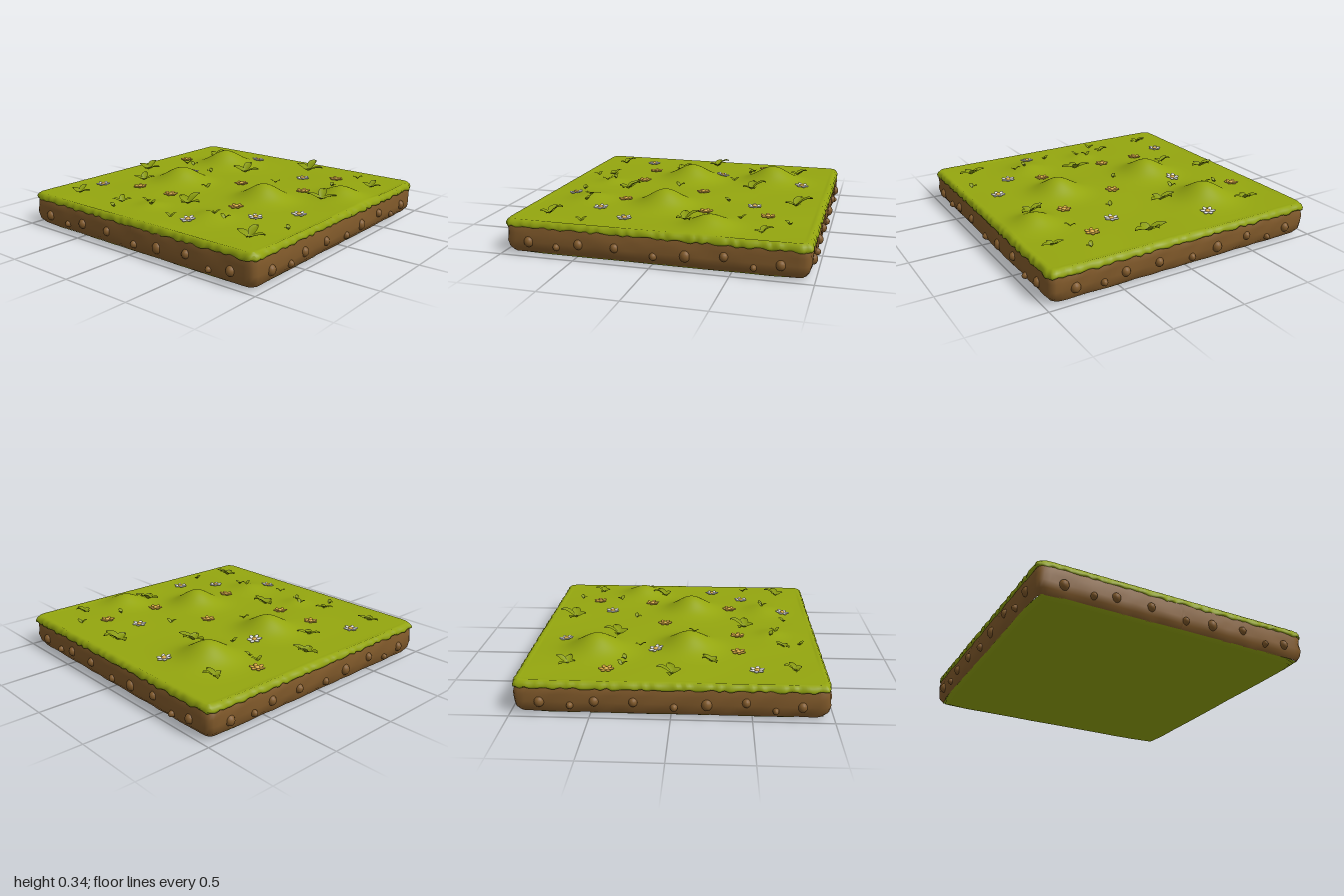
import * as THREE from 'three';
import { mergeGeometries } from 'three/addons/utils/BufferGeometryUtils.js';

const mat = (name, color, side = THREE.FrontSide) => {
  const m = new THREE.MeshStandardMaterial({ color, side });
  m.name = name;
  return m;
};

// Gentle mounds: x, z, height, radius
const HILLS = [
  [-0.45, -0.52, 0.11, 0.16], [-0.37, 0.09, 0.11, 0.16], [0.38, 0.08, 0.11, 0.15],
  [0.75, -0.32, 0.07, 0.13], [0.36, 0.62, 0.035, 0.13], [-0.12, 0.66, 0.02, 0.09],
];
const height = (x, z) => HILLS.reduce(
  (y, [hx, hz, h, r]) => y + h * Math.exp(-((x - hx) ** 2 + (z - hz) ** 2) / (r * r)),
  0.226 + 0.004 * Math.sin(7 * x + 1) * Math.sin(6 * z + 2));

// Smooth irregular wave along the border
const wave = (x, z, f) => (Math.sin(f * x + 1.3 * Math.sin(0.37 * f * x + 2 * z))
  + Math.sin(f * z + 1.3 * Math.sin(0.41 * f * z + 2 * x))) / 2;

// Point of a rounded square, from unit-square coordinates
function squarePoint(u, v, half, r = 0.05) {
  let x = u * half, z = v * half;
  const inner = half - r, dx = Math.abs(x) - inner, dz = Math.abs(z) - inner;
  if (dx > 0 && dz > 0) {
    const k = Math.min(1, r / Math.hypot(dx, dz));
    x = Math.sign(x) * (inner + dx * k);
    z = Math.sign(z) * (inner + dz * k);
  }
  return [x, z];
}

// Square sheet of n flat rings whose extra outer rings fold over the border
function sheet(n, half, rings, top, rim, flip) {
  const K = n + rings.length, W = 2 * K + 1, pos = [], idx = [];
  for (let j = -K; j <= K; j++) for (let i = -K; i <= K; i++) {
    const k = Math.max(Math.abs(i), Math.abs(j));
    if (k <= n) {
      const [x, z] = squarePoint(i / n, j / n, half);
      pos.push(x, top(x, z), z);
    } else {
      const [h, y] = rim(rings[k - n - 1], i / k, j / k);
      const [x, z] = squarePoint(i / k, j / k, h);
      pos.push(x, y, z);
    }
  }
  for (let j = 0; j < 2 * K; j++) for (let i = 0; i < 2 * K; i++) {
    const a = j * W + i, b = a + 1, c = a + W, d = c + 1;
    if (flip) idx.push(a, b, c, b, d, c);
    else idx.push(a, c, b, b, c, d);
  }
  const g = new THREE.BufferGeometry();
  g.setAttribute('position', new THREE.Float32BufferAttribute(pos, 3));
  g.setIndex(idx);
  g.computeVertexNormals();
  return g;
}

// Soil wall: tube squared off, with rounded lower edge and lumps
function soilWall() {
  const rows = [[0.955, 0.21], [0.97, 0.18], [0.972, 0.14], [0.975, 0.09], [0.968, 0.045], [0.945, 0.013]];
  const g = new THREE.CylinderGeometry(1, 1, 1, 320, 5, true), p = g.attributes.position;
  for (let i = 0; i < p.count; i++) {
    const [h, y] = rows[Math.round((0.5 - p.getY(i)) * 5)];
    const m = Math.max(Math.abs(p.getX(i)), Math.abs(p.getZ(i)));
    const u = p.getX(i) / m, v = p.getZ(i) / m;
    const [x, z] = squarePoint(u, v, h + 0.005 * wave(u + y * 2, v - y * 2, 23));
    p.setXYZ(i, x, y, z);
  }
  g.computeVertexNormals();
  return g;
}

// Curved, pointed leaf growing along +z
function leafGeometry(length, width, lift) {
  const g = new THREE.PlaneGeometry(2, 1, 4, 8), p = g.attributes.position;
  for (let i = 0; i < p.count; i++) {
    const s = p.getX(i), t = p.getY(i) + 0.5;
    const w = width * Math.pow(Math.sin(Math.PI * Math.pow(t, 0.85)), 0.8) + 0.003 * (1 - t);
    p.setXYZ(i, s * w, lift * Math.sin(t * 1.9) + 0.25 * width * s * s, length * t);
  }
  g.computeVertexNormals();
  return g;
}

export function createModel() {
  const model = new THREE.Group();
  const grass = mat('grass green', 0x94a60f);
  const leaf = mat('leaf green', 0x8a9c10, THREE.DoubleSide);
  const soil = mat('soil brown', 0x80592a);
  const white = mat('petal white', 0xf2f2ec);
  const yellow = mat('petal yellow', 0xd9ac42);
  const add = (parent, name, geo, material) => {
    const m = new THREE.Mesh(geo, material);
    m.name = name;
    parent.add(m);
    return m;
  };

  // Grass blanket with a ragged overhang
  add(model, 'grassTop', sheet(64, 0.935,
    [[0.958, 0.231, 0.3, 0], [0.972, 0.215, 0.8, 0.2], [0.978, 0.197, 1, 0.6], [0.976, 0.184, 1, 1], [0.955, 0.184, 0, 1]],
    height,
    ([h, y, a, b], u, v) => [h + 0.008 * a * wave(u, v, 67), y + b * (0.009 * wave(u, v, 61) + 0.005 * wave(u, v, 27))]),
    grass);
  add(model, 'soilWall', soilWall(), soil);
  add(model, 'underside', sheet(4, 0.915, [[0.935, 0.005], [0.95, 0.016]], () => 0,
    ([h, y], u, v) => [h + 0.004 * wave(u, v, 23), y], true), grass);

  // Pebbly lumps on each soil wall: distance along it, height, size
  const lumps = [[-0.81, 0.09, 0.032], [-0.62, 0.07, 0.022], [-0.47, 0.1, 0.03], [-0.23, 0.1, 0.028],
    [0.02, 0.07, 0.024], [0.22, 0.09, 0.034], [0.46, 0.11, 0.027], [0.64, 0.06, 0.02], [0.8, 0.09, 0.03]];
  for (let s = 0; s < 4; s++) {
    const wall = new THREE.Group();
    wall.name = 'soilLumps';
    wall.rotation.y = s * Math.PI / 2;
    for (const [x, y, r] of lumps) {
      const lump = add(wall, 'soilLump', new THREE.SphereGeometry(r, 14, 10), soil);
      lump.position.set(x, y, 0.968);
      lump.scale.z = 0.031 / r;
      lump.scale.y = 1.1;
    }
    model.add(wall);
  }

  // Flowers: six rounded petals about a button
  const petals = mergeGeometries(Array.from({ length: 6 }, (_, i) =>
    new THREE.SphereGeometry(1, 10, 8).scale(0.014, 0.006, 0.021)
      .rotateX(-0.2).translate(0, 0.012, 0.031).rotateY(i * Math.PI / 3)));
  const button = new THREE.SphereGeometry(0.017, 12, 8).scale(1, 0.65, 1).translate(0, 0.013, 0);
  const flower = (name, material) => ([x, z], i) => {
    const f = new THREE.Group();
    f.name = name;
    add(f, 'petals', petals, material);
    add(f, 'flowerButton', button, yellow);
    f.position.set(x, height(x, z), z);
    const e = 0.02;
    f.quaternion.setFromUnitVectors(new THREE.Vector3(0, 1, 0), new THREE.Vector3(
      height(x - e, z) - height(x + e, z), 2 * e, height(x, z - e) - height(x, z + e)).normalize());
    f.rotateY(i * 0.7);
    model.add(f);
  };
  [[-0.3, -0.76], [0.3, -0.52], [-0.465, -0.125], [0.77, 0.235], [0.595, 0.465], [-0.755, 0.53], [0.3, 0.77]]
    .forEach(flower('whiteFlower', white));
  [[-0.785, -0.415], [0.515, -0.645], [0.495, -0.23], [0.04, -0.1], [-0.48, 0.42], [-0.18, 0.42], [0.365, 0.37]]
    .forEach(flower('yellowFlower', yellow));

  // Leafy plants: x, z, leaf length, turn
  const plants = [[0.18, -0.78, 0.12, 0], [-0.69, -0.68, 0.085, -0.3], [0.8, -0.655, 0.075, 0],
    [-0.165, -0.41, 0.11, 0.2], [0.7, -0.145, 0.1, 0.4], [-0.82, 0, 0.1, 0.1], [-0.62, 0.245, 0.08, 0.6],
    [0.03, 0.475, 0.11, -0.2], [0.77, 0.755, 0.1, 0.1], [-0.73, 0.77, 0.08, 0.2], [-0.34, 0.73, 0.065, 0.7]];
  for (const [x, z, size, turn] of plants) {
    const plant = new THREE.Group();
    plant.name = 'leafyPlant';
    // back, left, right and small front leaf: angle, length, lift
    for (const [angle, l, lift] of [[Math.PI, 0.95, 0.5], [1.75, 1, 0.28], [-1.75, 1, 0.28], [0.3, 0.6, 0.2]]) {
      add(plant, 'leaf', leafGeometry(size * l, size * 0.27, size * lift), leaf).rotation.y = angle;
    }
    plant.position.set(x, height(x, z) - 0.002, z);
    plant.rotation.y = turn;
    model.add(plant);
  }

  // Tiny sprouts
  const sprouts = [[-0.7, -0.33], [-0.62, -0.315], [-0.37, -0.24], [0.19, -0.32], [0.58, -0.48], [-0.1, 0.12],
    [-0.17, 0.65], [-0.1, 0.69], [0.15, 0.77], [-0.3, 0.84], [0.39, 0.62], [0.47, 0.62], [0.865, 0.49], [0.61, -0.8]];
  const blade = leafGeometry(0.04, 0.012, 0.022);
  sprouts.forEach(([x, z], i) => {
    const sprout = new THREE.Group();
    sprout.name = 'sprout';
    for (const a of [0, 2.3]) add(sprout, 'blade', blade, leaf).rotation.y = a;
    sprout.position.set(x, height(x, z) - 0.002, z);
    sprout.rotation.y = i * 1.9;
    model.add(sprout);
  });
  return model;
}
